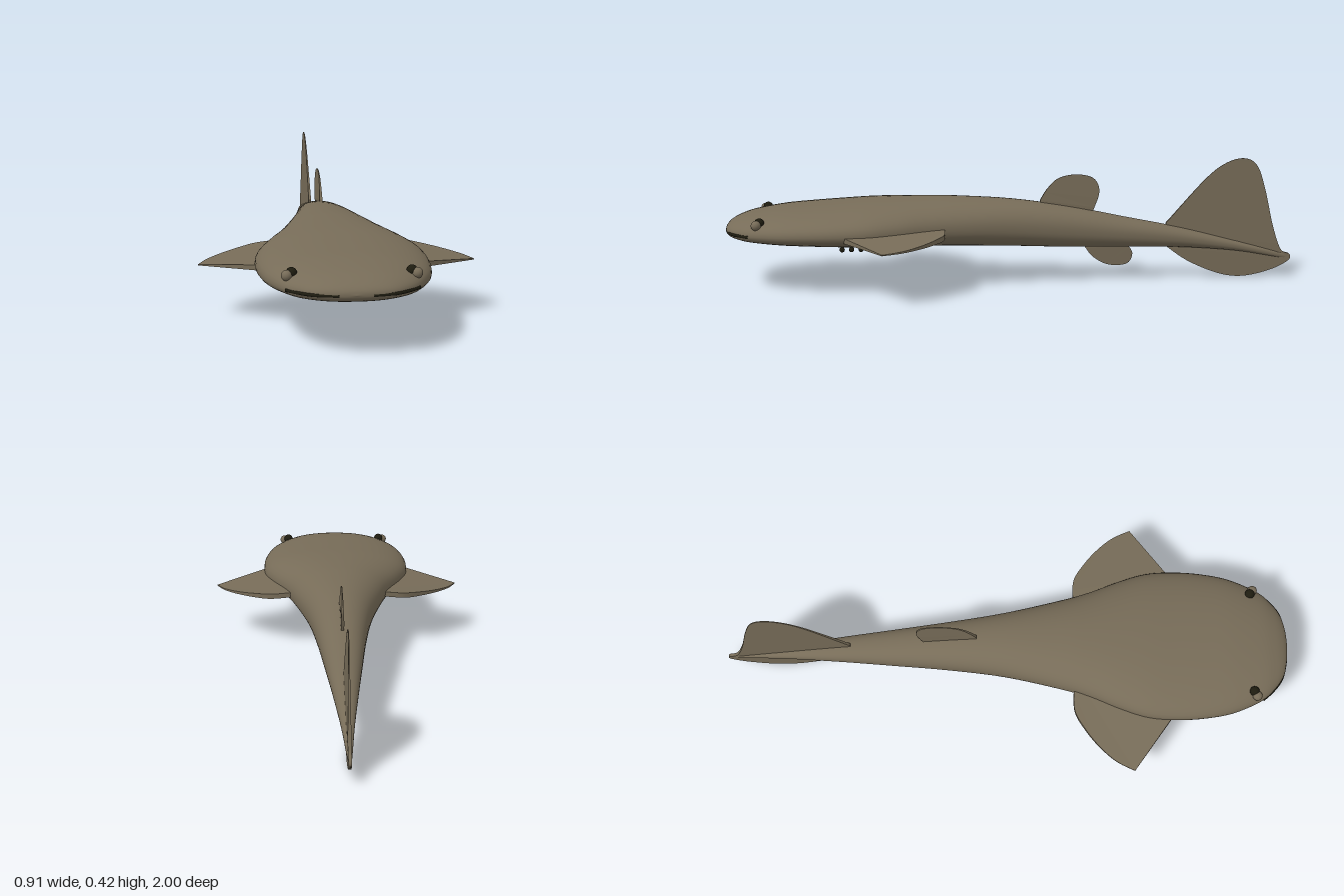
import * as THREE from 'three';

const skin = new THREE.MeshStandardMaterial({ color: 0x776c58, side: THREE.DoubleSide });
skin.name = 'brown skin';
const dark = new THREE.MeshStandardMaterial({ color: 0x1e1c10 });
dark.name = 'dark openings';

// Body stations from nose to tail: z, half width, top y, bottom y, y of widest line
const STATIONS = [
  [1, 0.003, 0.201, 0.199, 0.2], [0.995, 0.06, 0.214, 0.188, 0.2],
  [0.98, 0.115, 0.228, 0.178, 0.2], [0.95, 0.16, 0.243, 0.17, 0.2],
  [0.9, 0.205, 0.258, 0.163, 0.2], [0.8, 0.25, 0.274, 0.156, 0.202],
  [0.7, 0.27, 0.282, 0.152, 0.204], [0.6, 0.276, 0.289, 0.148, 0.205],
  [0.5, 0.268, 0.296, 0.145, 0.205], [0.4, 0.236, 0.3, 0.142, 0.205],
  [0.3, 0.195, 0.302, 0.138, 0.206], [0.2, 0.164, 0.301, 0.135, 0.206],
  [0, 0.116, 0.29, 0.127, 0.202], [-0.2, 0.086, 0.262, 0.119, 0.188],
  [-0.4, 0.064, 0.222, 0.116, 0.168], [-0.6, 0.043, 0.182, 0.112, 0.147],
  [-0.8, 0.022, 0.132, 0.096, 0.114], [-0.95, 0.009, 0.092, 0.07, 0.081],
  [-1, 0.003, 0.078, 0.06, 0.069],
];

function bodyGeometry(rings = 90, sides = 48) {
  const curveA = new THREE.CatmullRomCurve3(
    STATIONS.map(([z, w, top]) => new THREE.Vector3(z, w, top)), false, 'catmullrom', 0.5);
  const curveB = new THREE.CatmullRomCurve3(
    STATIONS.map(([z, , , bottom, mid]) => new THREE.Vector3(z, bottom, mid)), false, 'catmullrom', 0.5);
  const bend = (v, n) => Math.sign(v) * Math.pow(Math.abs(v), 2 / n);
  const pos = [], index = [];
  for (let i = 0; i <= rings; i++) {
    const a = curveA.getPoint(i / rings), b = curveB.getPoint(i / rings);
    for (let j = 0; j < sides; j++) {
      const t = (j / sides) * Math.PI * 2, s = Math.sin(t);
      const n = s >= 0 ? 2.15 : 2.4; // flatter belly
      const h = s >= 0 ? a.z - b.z : b.z - b.y;
      pos.push(Math.max(a.y, 0.002) * bend(Math.cos(t), n), b.z + h * bend(s, n), a.x);
      if (i < rings) {
        const p = i * sides + j, q = i * sides + (j + 1) % sides;
        index.push(p, p + sides, q, q, p + sides, q + sides);
      }
    }
  }
  // Close the nose and the tail tip
  const last = rings * sides;
  for (let j = 1; j < sides - 1; j++) {
    index.push(0, j, j + 1, last, last + j + 1, last + j);
  }
  const g = new THREE.BufferGeometry();
  g.setAttribute('position', new THREE.Float32BufferAttribute(pos, 3));
  g.setIndex(index);
  g.computeVertexNormals();
  return g;
}

// Straight root points followed by a smooth outer edge
function finShape(root, edge) {
  const shape = new THREE.Shape();
  shape.moveTo(...root[0]);
  root.slice(1).forEach((p) => shape.lineTo(...p));
  shape.lineTo(...edge[0]);
  shape.splineThru(edge.slice(1).map((p) => new THREE.Vector2(...p)));
  return shape;
}

// Upright fin drawn in (z, y), thinning away from baseY
function uprightFin(root, edge, baseY, reach) {
  const g = new THREE.ExtrudeGeometry(finShape(root, edge),
    { depth: 1, bevelEnabled: false, curveSegments: 40 });
  g.translate(0, 0, -0.5).rotateY(-Math.PI / 2);
  const p = g.attributes.position;
  for (let i = 0; i < p.count; i++) {
    const k = Math.min(1, Math.abs(p.getY(i) - baseY) / reach);
    p.setX(i, p.getX(i) * (0.012 - 0.009 * k));
  }
  g.computeVertexNormals();
  return g;
}

// Side fin drawn in (x, z), drooping and thinning toward the tip
function pectoralFin(side) {
  const flip = (list) => list.map(([x, z]) => [x * side, z]);
  const root = flip([[0.12, 0.25], [0.2, 0.58], [0.27, 0.583]]);
  const edge = flip([[0.453, 0.452], [0.422, 0.39], [0.375, 0.335], [0.315, 0.285], [0.245, 0.245], [0.165, 0.242]]);
  const g = new THREE.ExtrudeGeometry(finShape(root, edge),
    { depth: 1, bevelEnabled: false, curveSegments: 30 });
  g.translate(0, 0, -0.5).rotateX(Math.PI / 2);
  const p = g.attributes.position;
  for (let i = 0; i < p.count; i++) {
    const out = Math.abs(p.getX(i)) - 0.27;
    const thick = THREE.MathUtils.clamp(0.018 - 0.08 * out, 0.003, 0.018);
    p.setY(i, 0.195 - 0.09 * out + p.getY(i) * thick);
  }
  g.computeVertexNormals();
  return g;
}

export function createModel() {
  const model = new THREE.Group();
  model.name = 'fish';
  const add = (name, geometry, material, x = 0, y = 0, z = 0) => {
    const mesh = new THREE.Mesh(geometry, material);
    mesh.name = name;
    mesh.position.set(x, y, z);
    model.add(mesh);
    return mesh;
  };

  add('body', bodyGeometry(), skin);

  // Fins on the centre line
  add('dorsalFin', uprightFin([[-0.28, 0.22], [-0.1, 0.26]],
    [[-0.1, 0.285], [-0.125, 0.325], [-0.165, 0.362], [-0.23, 0.375], [-0.29, 0.36], [-0.31, 0.315], [-0.29, 0.25]],
    0.27, 0.1), skin);
  add('analFin', uprightFin([[-0.41, 0.14], [-0.26, 0.14]],
    [[-0.26, 0.115], [-0.29, 0.078], [-0.345, 0.05], [-0.41, 0.053], [-0.43, 0.09], [-0.41, 0.125]],
    0.12, 0.07), skin);
  add('tailFin', uprightFin([[-0.55, 0.15], [-0.55, 0.2]],
    [[-0.56, 0.21], [-0.69, 0.355], [-0.765, 0.412], [-0.83, 0.427], [-0.875, 0.4], [-0.905, 0.315],
      [-0.935, 0.185], [-0.965, 0.1], [-0.998, 0.08], [-0.993, 0.057], [-0.93, 0.025], [-0.83, 0.003],
      [-0.74, 0.014], [-0.63, 0.06], [-0.55, 0.115]],
    0.12, 0.28), skin);

  const eyeball = new THREE.SphereGeometry(0.017, 20, 14);
  const gill = new THREE.SphereGeometry(0.009, 12, 8);
  for (const side of [1, -1]) {
    const label = side > 0 ? 'left' : 'right';
    add(label + 'PectoralFin', pectoralFin(side), skin);

    // Eye: dark ball with a skin-coloured lid in front
    add(label + 'Eye', eyeball, dark, side * 0.182, 0.243, 0.87);
    add(label + 'Eyelid', eyeball, skin, side * 0.197, 0.237, 0.88);

    // Mouth slit following the snout
    const path = [[0.05, 0.992], [0.085, 0.985], [0.125, 0.972], [0.165, 0.942], [0.2, 0.904]];
    const curve = new THREE.CatmullRomCurve3(path.map(([x, z]) => new THREE.Vector3(side * x, 0.198, z)));
    const mouth = add(label + 'Mouth', new THREE.TubeGeometry(curve, 24, 0.006, 8), dark);
    mouth.name = label + 'Mouth';

    // Row of gill openings under the head
    for (let i = 0; i < 7; i++) {
      const t = i / 6;
      add(label + 'Gill' + (i + 1), gill, dark, side * (0.225 - 0.03 * t), 0.157 - 0.004 * t, 0.59 - 0.19 * t);
    }
  }
  return model;
}
